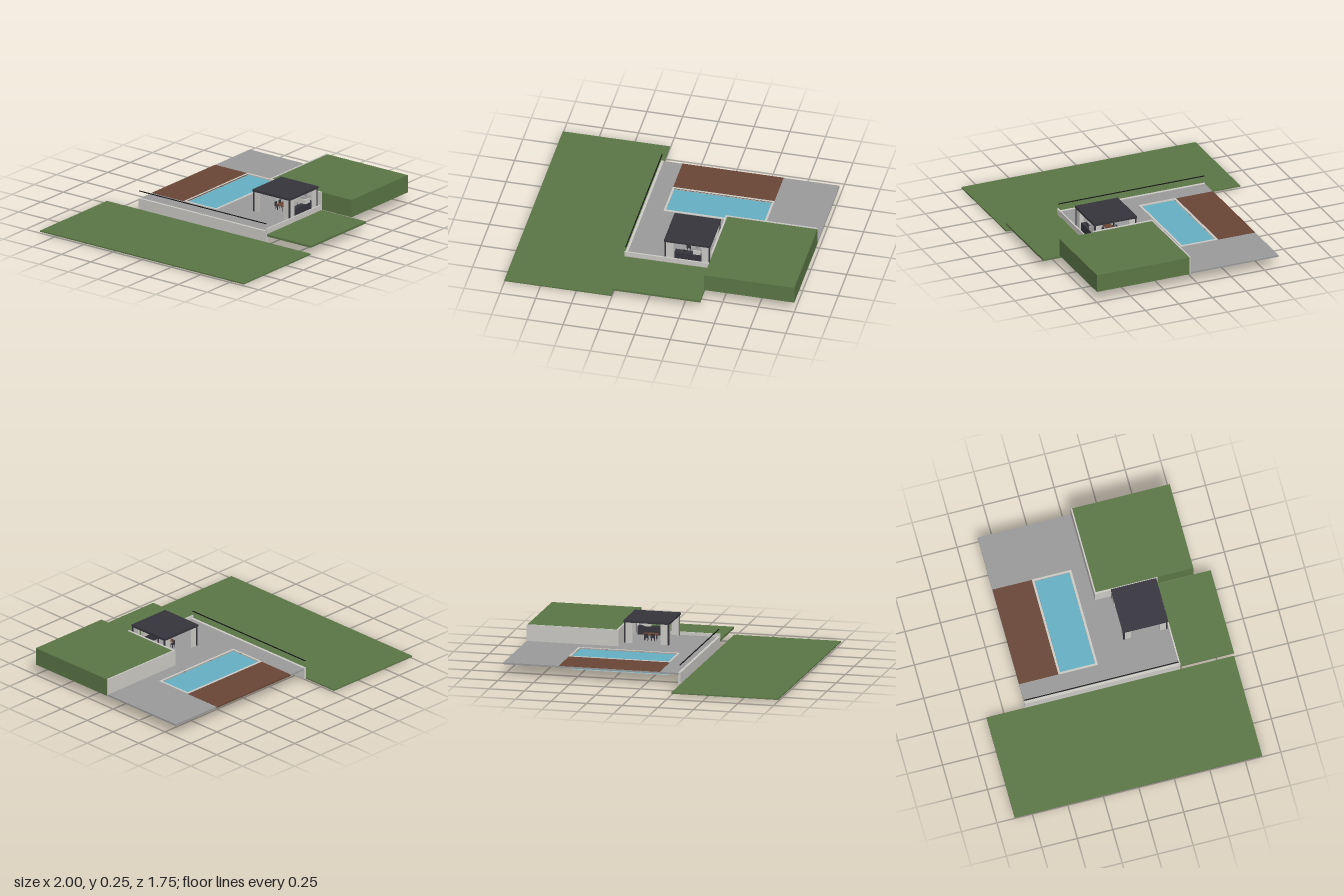
import * as THREE from 'three';

const mat = (name, color) => {
  const m = new THREE.MeshStandardMaterial({ color });
  m.name = name;
  return m;
};

export function createModel() {
  const root = new THREE.Group();
  root.name = 'gardenTerrace';

  const grass = mat('grass green', 0x5b7646);
  const paving = mat('paving grey', 0x9a9a9a);
  const stone = mat('pale stone', 0xcccac5);
  const wood = mat('deck brown', 0x694636);
  const water = mat('pool blue', 0x66afc4);
  const basin = mat('pale blue', 0xb4ced6);
  const dark = mat('charcoal', 0x36343c);
  const black = mat('rail black', 0x141414);

  // Box from its extents on each axis
  const box = (name, m, [x0, x1], [y0, y1], [z0, z1], parent = root) => {
    const mesh = new THREE.Mesh(new THREE.BoxGeometry(x1 - x0, y1 - y0, z1 - z0), m);
    mesh.position.set((x0 + x1) / 2, (y0 + y1) / 2, (z0 + z1) / 2);
    mesh.name = name;
    parent.add(mesh);
    return mesh;
  };

  // Flat slab with rectangular holes, outline given as x, z points
  const slab = (name, m, outline, holes, y0, y1) => {
    const toPts = (pts) => pts.map(([x, z]) => new THREE.Vector2(x, -z));
    const shape = new THREE.Shape(toPts(outline));
    holes.forEach(([x0, x1, z0, z1]) =>
      shape.holes.push(new THREE.Path(toPts([[x0, z0], [x1, z0], [x1, z1], [x0, z1]]))));
    const geo = new THREE.ExtrudeGeometry(shape, { depth: y1 - y0, bevelEnabled: false });
    geo.rotateX(-Math.PI / 2);
    geo.translate(0, y0, 0);
    const mesh = new THREE.Mesh(geo, m);
    mesh.name = name;
    root.add(mesh);
  };
  const rect = (x0, x1, z0, z1) => [[x0, z0], [x1, z0], [x1, z1], [x0, z1]];

  // Lawns on three levels
  box('lowerLawn', grass, [-1, -0.25], [0.012, 0.021], [-0.875, 0.87]);
  box('middleLawn', grass, [-0.248, 0.37], [0.062, 0.077], [0.493, 0.87]);
  box('upperLawn', grass, [0.37, 1], [0.08, 0.205], [0.06, 0.748]);

  // L-shaped terrace, open where the deck and pool sit
  slab('terrace', paving,
    [[-0.235, -0.605], [1, -0.605], [1, 0.052], [0.357, 0.052], [0.357, 0.488], [-0.235, 0.488]],
    [[-0.1, 0.608, -0.602, -0.06]], 0.083, 0.094);
  box('deck', wood, [-0.1, 0.608], [0.083, 0.096], [-0.605, -0.328]);

  // Pool
  slab('poolCoping', stone, rect(-0.102, 0.61, -0.328, -0.05), [[-0.088, 0.595, -0.312, -0.066]], 0.085, 0.098);
  box('pool', water, [-0.088, 0.595], [0.008, 0.09], [-0.31, -0.067]);
  box('poolBase', basin, [-0.088, 0.595], [0.002, 0.008], [-0.31, -0.067]);

  // Retaining walls and parapet
  box('sideWall', stone, [-0.248, -0.23], [0.015, 0.097], [-0.605, 0.488]);
  box('frontParapet', stone, [-0.248, 0.37], [0.08, 0.115], [0.482, 0.493]);
  box('lawnWallBack', stone, [0.355, 1], [0.083, 0.209], [0.05, 0.06]);
  box('lawnWallSide', stone, [0.357, 0.37], [0.083, 0.209], [0.052, 0.493]);

  // Handrail along the lower side
  box('handrail', black, [-0.245, -0.239], [0.147, 0.152], [-0.605, 0.482]);

  // Pavilion: roof, corner posts and pale corner panels
  const pavilion = new THREE.Group();
  pavilion.name = 'pavilion';
  root.add(pavilion);
  const X = [0.025, 0.349], Z = [0.16, 0.48], floor = 0.094, eave = 0.237;
  box('roof', dark, X, [eave, 0.252], Z, pavilion);
  // Span measured inward from a low or high edge
  const inward = (range, side, from, to) => side === 0
    ? [range[0] + from, range[0] + to]
    : [range[1] - to, range[1] - from];
  for (const i of [0, 1]) {
    for (const j of [0, 1]) {
      box('cornerPost', dark, inward(X, i, 0.004, 0.014), [floor, eave], inward(Z, j, 0.004, 0.014), pavilion);
      box('cornerPanel', stone, inward(X, i, 0.014, 0.064), [floor, eave], inward(Z, j, 0.006, 0.012), pavilion);
      box('cornerPanel', stone, inward(X, i, 0.006, 0.012), [floor, eave], inward(Z, j, 0.014, 0.058), pavilion);
    }
  }

  // Kitchen counter, grill hood and tap
  box('counter', dark, [0.095, 0.315], [floor, 0.152], [0.425, 0.465], pavilion);
  box('grill', stone, [0.225, 0.275], [0.152, 0.184], [0.43, 0.462], pavilion);
  box('grillHood', paving, [0.218, 0.282], [0.192, 0.2], [0.428, 0.464], pavilion);
  box('grillFlue', paving, [0.243, 0.257], [0.184, eave], [0.439, 0.453], pavilion);
  box('tap', black, [0.158, 0.161], [0.152, 0.174], [0.445, 0.449], pavilion);

  // Dining table with chairs
  box('tableTop', wood, [0.14, 0.24], [0.13, 0.135], [0.275, 0.33], pavilion);
  for (const x of [0.146, 0.23]) {
    for (const z of [0.28, 0.321]) {
      box('tableLeg', dark, [x, x + 0.004], [floor, 0.13], [z, z + 0.004], pavilion);
    }
  }
  for (const x of [0.155, 0.2]) {
    for (const s of [-1, 1]) {
      const z = 0.3025 + s * 0.038;
      box('chairSeat', dark, [x, x + 0.024], [0.115, 0.119], [z - 0.012, z + 0.012], pavilion);
      const b = z + s * 0.011;
      box('chairBack', dark, [x, x + 0.024], [0.119, 0.145], [b - 0.0015, b + 0.0015], pavilion);
      for (const dx of [0, 0.021]) {
        for (const dz of [-0.011, 0.009]) {
          box('chairLeg', dark, [x + dx, x + dx + 0.003], [floor, 0.115], [z + dz, z + dz + 0.003], pavilion);
        }
      }
    }
  }

  return root;
}
